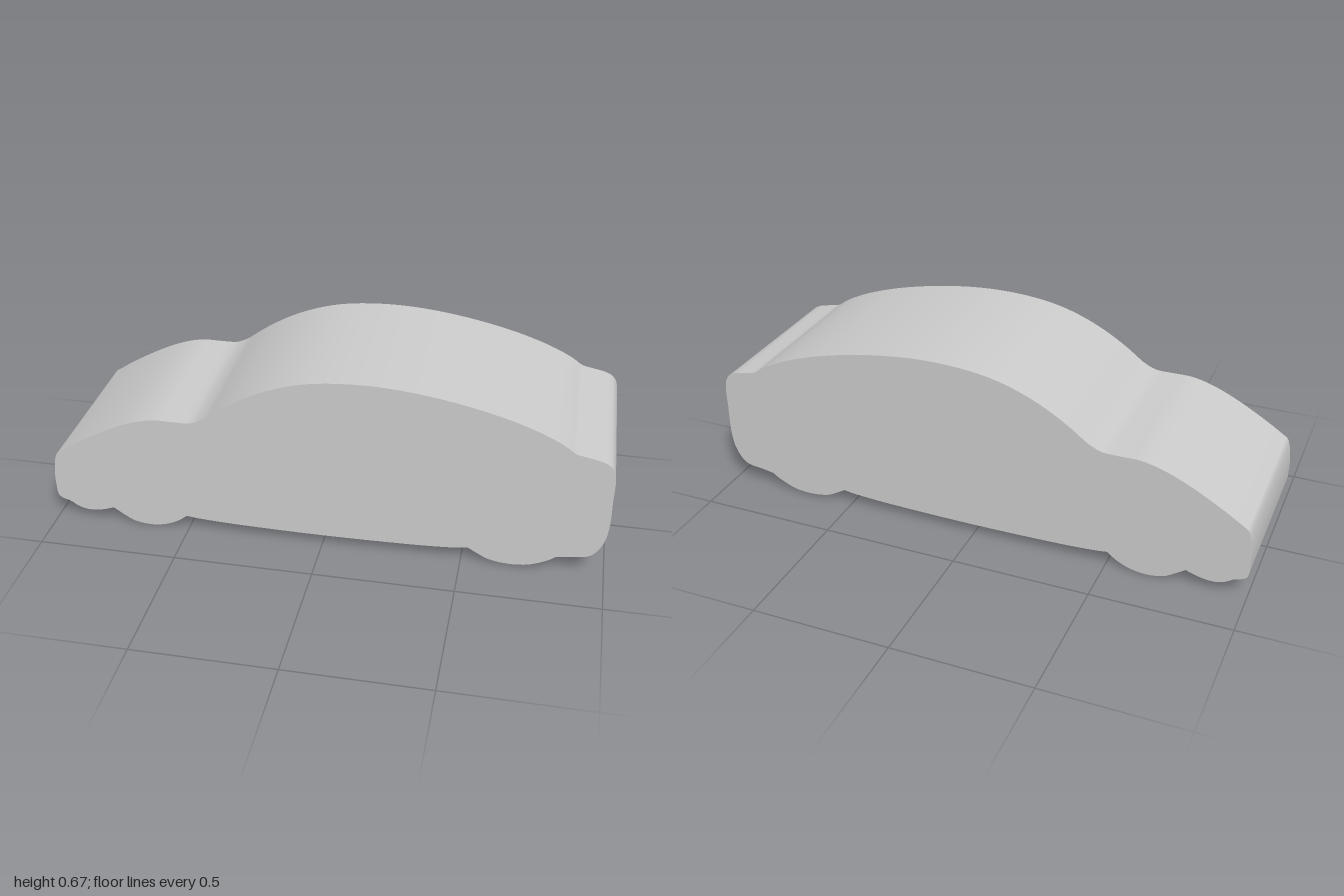
import * as THREE from 'three';
import { toCreasedNormals } from 'three/addons/utils/BufferGeometryUtils.js';

const DEPTH = 0.638;

// Side profile as smooth runs; each run starts where the previous one ends, at a crease.
const RUNS = {
  noseAndBonnet: [[-0.995, 0.085], [-1, 0.11], [-1, 0.19], [-0.987, 0.26], [-0.96, 0.285], [-0.88, 0.336],
    [-0.78, 0.391], [-0.69, 0.43], [-0.61, 0.45], [-0.54, 0.451], [-0.47, 0.453], [-0.42, 0.475]],
  roof: [[-0.42, 0.475], [-0.33, 0.54], [-0.22, 0.6], [-0.1, 0.643], [0.02, 0.664], [0.16, 0.67], [0.3, 0.661],
    [0.45, 0.638], [0.6, 0.603], [0.72, 0.563], [0.8, 0.527], [0.84, 0.503]],
  tail: [[0.84, 0.503], [0.865, 0.486], [0.91, 0.476], [0.955, 0.465], [0.985, 0.445], [1, 0.4], [1, 0.31],
    [1, 0.22], [0.99, 0.15], [0.965, 0.1], [0.935, 0.077], [0.88, 0.069], [0.83, 0.06]],
  rearWheel: [[0.83, 0.06], [0.8, 0.04], [0.74, 0.015], [0.67, 0.008], [0.6, 0.018], [0.555, 0.04], [0.525, 0.058]],
  sill: [[0.525, 0.058], [0.46, 0.05], [0.3, 0.043], [0, 0.039], [-0.3, 0.043], [-0.45, 0.05], [-0.505, 0.056]],
  frontWheel: [[-0.505, 0.056], [-0.54, 0.03], [-0.59, 0.008], [-0.65, 0], [-0.71, 0.01], [-0.75, 0.033], [-0.785, 0.057]],
  frontBumper: [[-0.785, 0.057], [-0.83, 0.042], [-0.88, 0.036], [-0.92, 0.045], [-0.95, 0.064], [-0.98, 0.074], [-0.995, 0.085]],
};

export function createModel() {
  // Sample every run as a spline and join them into one closed outline
  const outline = Object.values(RUNS).flatMap((run) => {
    const curve = new THREE.SplineCurve(run.map(([x, y]) => new THREE.Vector2(x, y)));
    return curve.getPoints((run.length - 1) * 4).slice(0, -1);
  });

  // Car silhouette extruded across its width, with smooth sides and sharp rims
  const solid = new THREE.ExtrudeGeometry(new THREE.Shape(outline), { depth: DEPTH, bevelEnabled: false });
  solid.translate(0, 0, -DEPTH / 2);
  const body = new THREE.Mesh(toCreasedNormals(solid, 0.5), new THREE.MeshStandardMaterial({ color: 0xcccccc }));
  body.name = 'carBody';

  const group = new THREE.Group();
  group.name = 'carSilhouette';
  group.add(body);
  return group;
}
